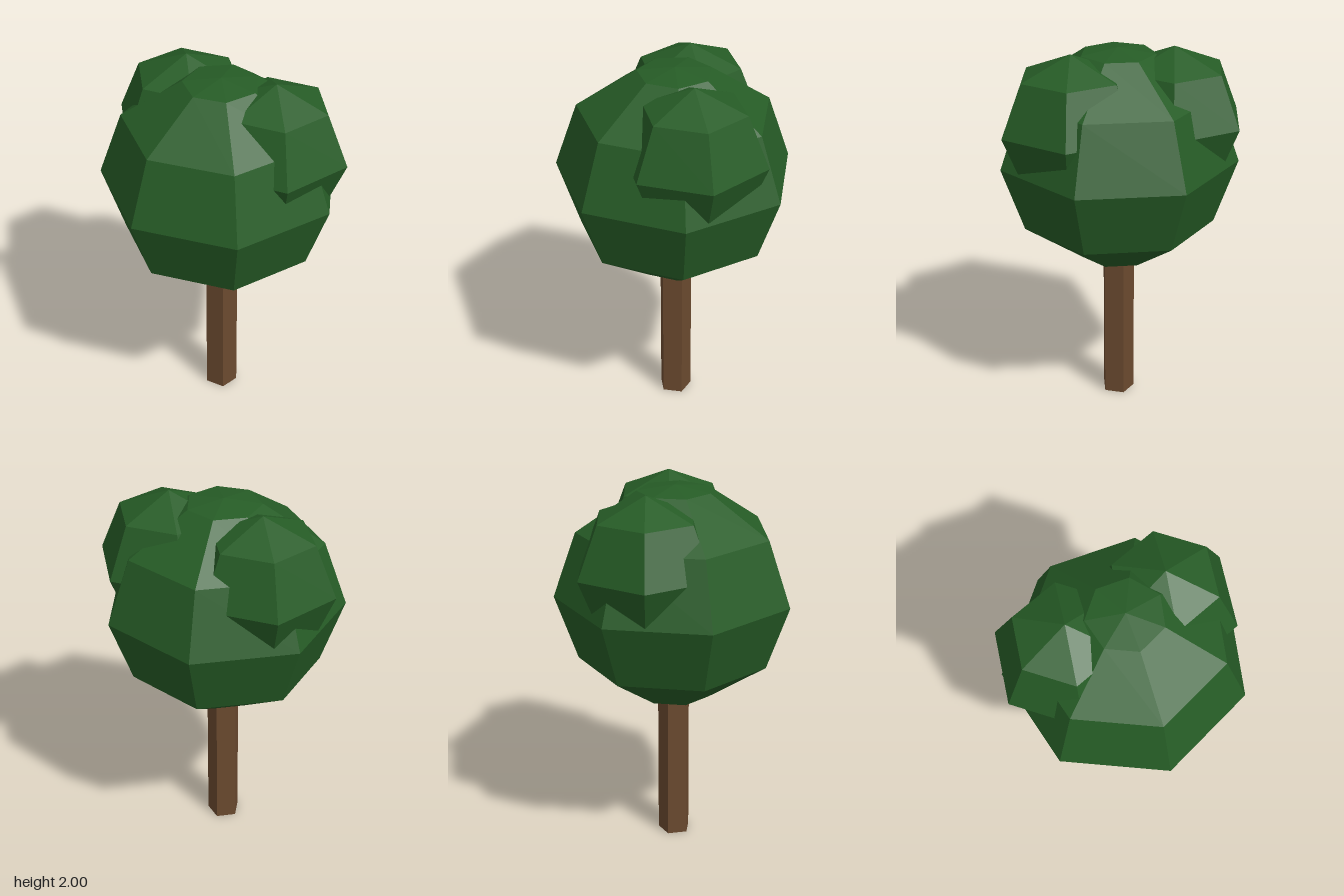
import * as THREE from 'three';

const leafGreen = new THREE.MeshStandardMaterial({ color: 0x265c26, flatShading: true });
leafGreen.name = 'leaf green';
const barkBrown = new THREE.MeshStandardMaterial({ color: 0x6b4a2f, flatShading: true, side: THREE.DoubleSide });
barkBrown.name = 'bark brown';

function addPart(group, name, geometry, material, x, y, z) {
  const mesh = new THREE.Mesh(geometry, material);
  mesh.name = name;
  mesh.position.set(x, y, z);
  group.add(mesh);
  return mesh;
}

export function createModel() {
  const tree = new THREE.Group();
  tree.name = 'tree';

  // Five-sided trunk, open at both ends
  addPart(tree, 'trunk', new THREE.CylinderGeometry(0.09, 0.09, 0.9, 5, 1, true), barkBrown, 0, 0.45, 0);

  // Main crown: seven-sided ball with rings every 36 degrees from the equator
  const profile = [-90, -72, -36, 0, 36, 72, 90].map((degrees) => {
    const a = THREE.MathUtils.degToRad(degrees);
    return new THREE.Vector2(Math.max(0, 0.635 * Math.cos(a)), 0.59 * Math.sin(a));
  });
  addPart(tree, 'crown', new THREE.LatheGeometry(profile, 7), leafGreen, 0, 1.4, 0);

  // Two smaller six-sided clumps bulging out of the crown
  const clumpGeometry = new THREE.SphereGeometry(0.385, 6, 4).rotateY(Math.PI / 2);
  addPart(tree, 'leftClump', clumpGeometry, leafGreen, 0.26, 1.615, 0.115);
  addPart(tree, 'rightClump', clumpGeometry, leafGreen, -0.147, 1.615, -0.25);

  return tree;
}
